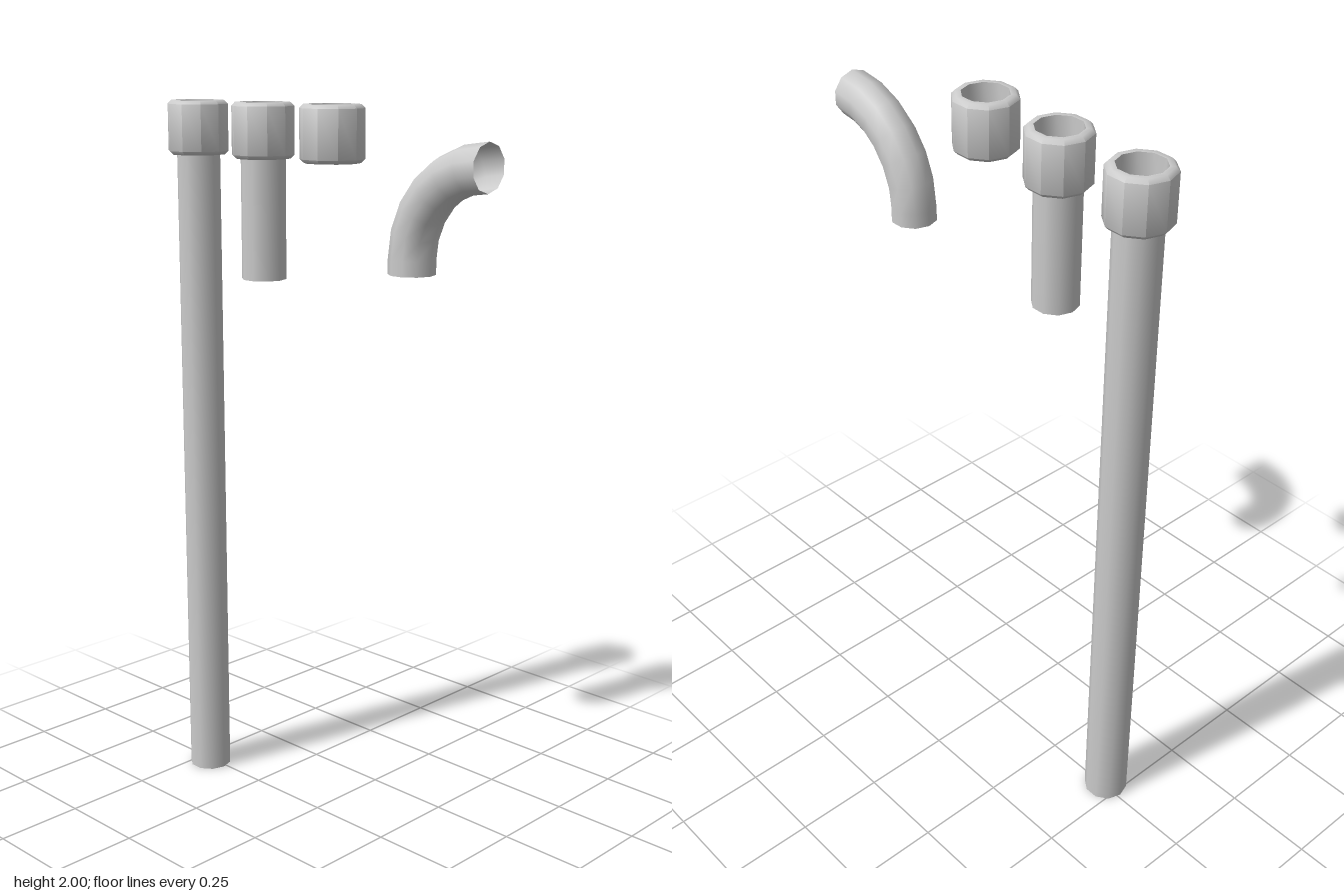
import * as THREE from 'three';
import { toCreasedNormals } from 'three/addons/utils/BufferGeometryUtils.js';

const SIDES = 10;
const PIPE_R = 0.0615;
const COLLAR_R = 0.0855;
const COLLAR_BOTTOM = 1.853;
const TOP = 2;

const material = new THREE.MeshStandardMaterial({ color: 0xcccccc, side: THREE.DoubleSide });

function makeMesh(name, geometry) {
  const mesh = new THREE.Mesh(geometry, material);
  mesh.name = name;
  return mesh;
}

// Open straight pipe, with corners of the ten-sided section on the x axis
function pipe(name, bottom, top) {
  const g = new THREE.CylinderGeometry(PIPE_R, PIPE_R, top - bottom, SIDES, 1, true);
  g.rotateY(Math.PI / 2).translate(0, (bottom + top) / 2, 0);
  return makeMesh(name, g);
}

// Thick ring with bevelled outer edges
function collar(name) {
  const b = 0.01;
  const profile = [
    [PIPE_R, COLLAR_BOTTOM], [COLLAR_R - b, COLLAR_BOTTOM],
    [COLLAR_R, COLLAR_BOTTOM + b], [COLLAR_R, TOP - b],
    [COLLAR_R - b, TOP], [PIPE_R, TOP], [PIPE_R, COLLAR_BOTTOM],
  ].map(([r, y]) => new THREE.Vector2(r, y));
  const g = new THREE.LatheGeometry(profile, SIDES, Math.PI / 2);
  return makeMesh(name, toCreasedNormals(g, 0.9));
}

// Quarter bend with a short straight foot, made by bending a cylinder
function elbow(name) {
  const rows = 7, bendR = 0.237, endX = 0.539, footY = 1.585, bendY = 1.624;
  const g = new THREE.CylinderGeometry(PIPE_R, PIPE_R, 1, SIDES, rows, true);
  g.rotateY(Math.PI / 2);
  const p = g.attributes.position, n = g.attributes.normal;
  for (let i = 0; i < p.count; i++) {
    const row = Math.round((p.getY(i) + 0.5) * rows);
    const a = (Math.max(row - 1, 0) / (rows - 1)) * Math.PI / 2;
    const c = Math.cos(a), s = Math.sin(a);
    const x = p.getX(i), nx = n.getX(i);
    const baseY = row === 0 ? footY : bendY;
    p.setXYZ(i, endX - bendR * c + x * c, baseY + bendR * s - x * s, p.getZ(i));
    n.setXYZ(i, nx * c, -nx * s, n.getZ(i));
  }
  return makeMesh(name, g);
}

function fitting(name, x, ...parts) {
  const group = new THREE.Group();
  group.name = name;
  group.position.set(x, 0, 0.01);
  group.add(...parts);
  return group;
}

export function createModel() {
  const model = new THREE.Group();
  model.name = 'pipeFittings';
  model.add(
    fitting('longPipe', -0.456, pipe('longPipeTube', 0, COLLAR_BOTTOM), collar('longPipeSocket')),
    fitting('shortPipe', -0.194, pipe('shortPipeTube', 1.53, COLLAR_BOTTOM), collar('shortPipeSocket')),
    fitting('coupling', 0.063, collar('couplingRing')),
  );
  const bend = elbow('elbowPipe');
  bend.position.z = -0.033;
  model.add(bend);
  return model;
}
